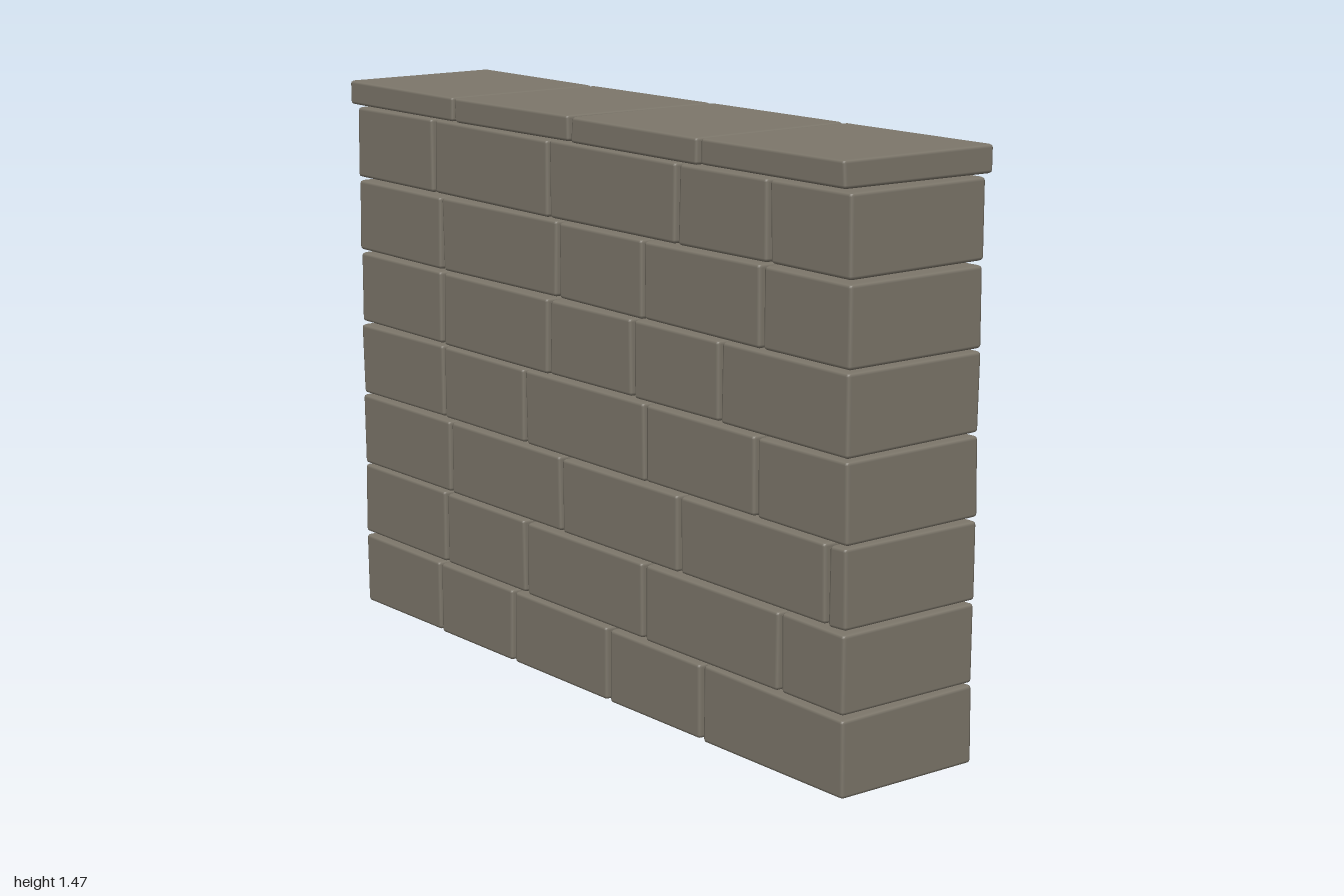
import * as THREE from 'three';
import { RoundedBoxGeometry } from 'three/addons/geometries/RoundedBoxGeometry.js';

const stone = new THREE.MeshStandardMaterial({ color: 0x7d776b });

// Small seeded generator for the hand-cut unevenness
let seed = 7;
const rand = () => {
  seed = (seed * 16807) % 2147483647;
  return (seed / 2147483647) * 2 - 1;
};

// Block with worn edges; each of its eight corners is nudged inward or outward a little
function block(name, x0, x1, y0, y1, depth, bevel, wobble) {
  const w = x1 - x0, h = y1 - y0;
  const geo = new RoundedBoxGeometry(w, h, depth, 1, bevel);
  const corners = Array.from({ length: 8 }, () => new THREE.Vector3(rand(), rand(), rand()).multiplyScalar(wobble));
  const pos = geo.attributes.position;
  const p = new THREE.Vector3();
  for (let i = 0; i < pos.count; i++) {
    p.fromBufferAttribute(pos, i);
    const t = [p.x / w + 0.5, p.y / h + 0.5, p.z / depth + 0.5];
    corners.forEach((c, k) => {
      const weight = t.reduce((a, v, axis) => a * ((k >> axis) & 1 ? v : 1 - v), 1);
      p.addScaledVector(c, weight);
    });
    pos.setXYZ(i, p.x, p.y, p.z);
  }
  const mesh = new THREE.Mesh(geo, stone);
  mesh.name = name;
  mesh.position.set((x0 + x1) / 2, (y0 + y1) / 2, 0);
  return mesh;
}

// A row of blocks split at the given joints
function row(name, blockName, joints, y0, y1, depth, bevel) {
  const group = new THREE.Group();
  group.name = name;
  const edges = [-1.004, ...joints, 1.004];
  const gap = 0.006;
  for (let i = 0; i < edges.length - 1; i++) {
    group.add(block(blockName, edges[i] + gap, edges[i + 1] - gap, y0, y1, depth, bevel, 0.002));
  }
  return group;
}

export function createModel() {
  seed = 7;
  const wall = new THREE.Group();
  wall.name = 'brickWall';

  // Vertical joints of each course, from the ground up
  const courses = [
    [-0.63, -0.29, 0.12, 0.49],
    [-0.6, -0.23, 0.265, 0.775],
    [-0.57, -0.075, 0.4, 0.935],
    [-0.6, -0.23, 0.27, 0.685],
    [-0.6, -0.125, 0.22, 0.55],
    [-0.6, -0.085, 0.26, 0.7],
    [-0.63, -0.12, 0.39, 0.72],
  ];
  courses.forEach((joints, i) => {
    const y = i * 0.2;
    wall.add(row('course' + (i + 1), 'brick', joints, y + 0.004, y + 0.197, 0.406, 0.009));
  });

  // Overhanging coping slabs
  wall.add(row('coping', 'copingSlab', [-0.503, -0.003, 0.497], 1.405, 1.469, 0.45, 0.008));
  return wall;
}
